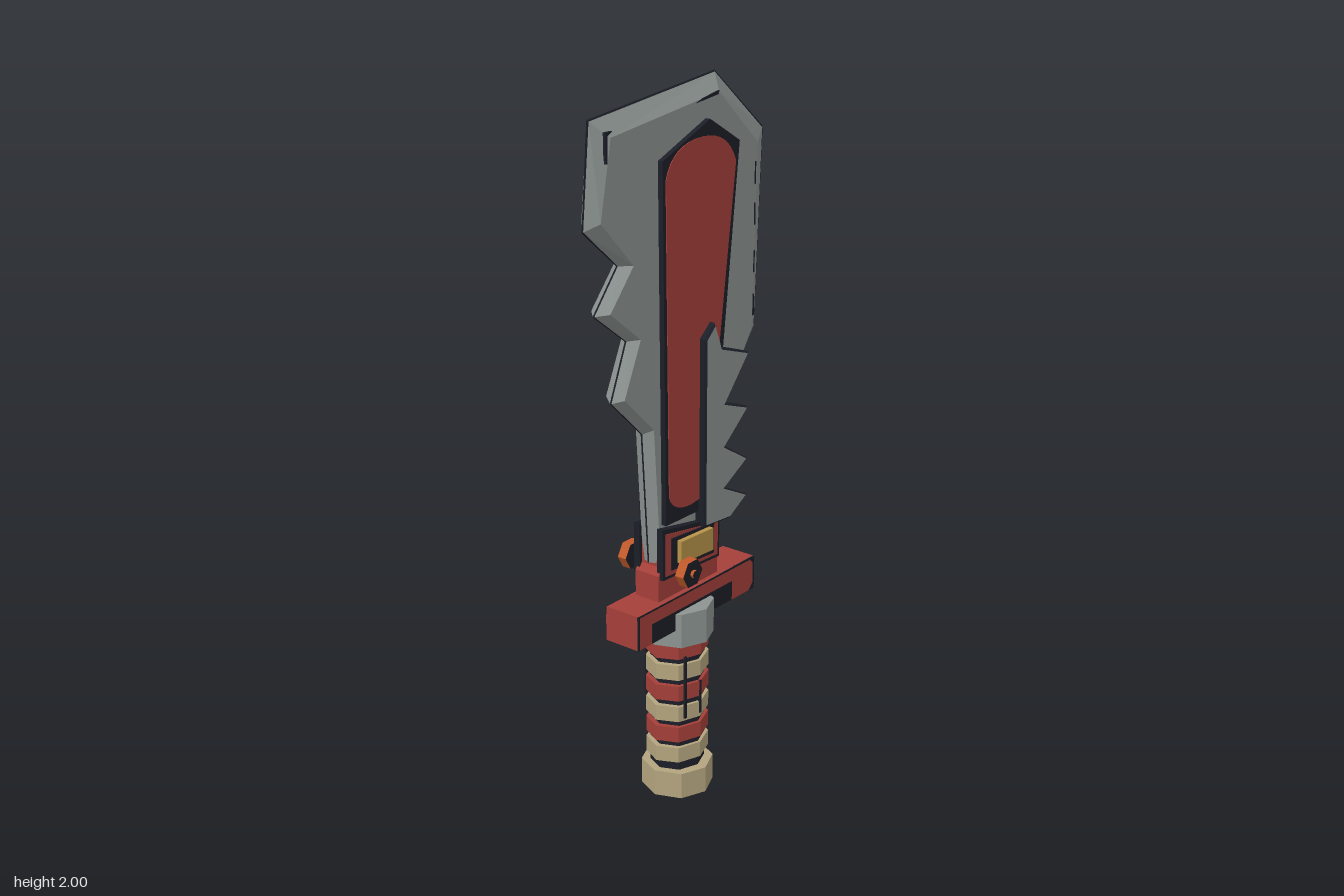
import * as THREE from 'three';

const mat = (name, color) => {
  const m = new THREE.MeshStandardMaterial({ color });
  m.name = name;
  return m;
};

export function createModel() {
  const model = new THREE.Group();
  model.name = 'serratedSword';
  const steel = mat('steel grey', 0x8c9390);
  const red = mat('red', 0xa53f39);
  const dark = mat('dark navy', 0x1c1e28);
  const tan = mat('tan', 0xb3a47e);
  const gold = mat('gold', 0xb8934a);
  const orange = mat('burnt orange', 0xc25a2b);

  const add = (name, geo, material, x = 0, y = 0, z = 0) => {
    const mesh = new THREE.Mesh(geo, material);
    mesh.name = name;
    mesh.position.set(x, y, z);
    model.add(mesh);
    return mesh;
  };
  const shapeOf = (pts) => new THREE.Shape(pts.map(([x, y]) => new THREE.Vector2(x, y)));
  // Flat plate from an outline, between two depths
  const plate = (name, shape, z0, z1, material) =>
    add(name, new THREE.ExtrudeGeometry(shape, { depth: z1 - z0, bevelEnabled: false, curveSegments: 8 }), material, 0, 0, z0);
  const box = (name, x0, x1, y0, y1, z0, z1, material) =>
    add(name, new THREE.BoxGeometry(x1 - x0, y1 - y0, z1 - z0), material, (x0 + x1) / 2, (y0 + y1) / 2, (z0 + z1) / 2);
  // Faceted eight-sided ring of the grip
  const octagon = (name, rx, rz, y0, y1, material) => {
    const geo = new THREE.CylinderGeometry(1, 1, y1 - y0, 8).toNonIndexed();
    geo.scale(rx, 1, rz);
    geo.computeVertexNormals();
    add(name, geo, material, 0, (y0 + y1) / 2, 0);
  };
  const fromTriangles = (name, pos, material) => {
    const geo = new THREE.BufferGeometry();
    geo.setAttribute('position', new THREE.Float32BufferAttribute(pos, 3));
    geo.computeVertexNormals();
    add(name, geo, material);
  };

  // Blade: cutting edge on the centre plane, bevelled up to two flat faces.
  // Each row is edge x, edge y, face x, face y.
  const outline = [
    [-0.34, 1.935, -0.29, 1.89], [0.15, 2, 0.13, 1.95], [0.363, 1.83, 0.3, 1.8],
    [0.337, 1.285, 0.285, 1.3], [0.165, 1.05, 0.14, 1.07], [0.14, 0.73, 0.12, 0.73],
    [-0.125, 0.73, -0.11, 0.73], [-0.15, 1.1, -0.135, 1.115], [-0.27, 1.215, -0.25, 1.225],
    [-0.21, 1.365, -0.185, 1.37], [-0.33, 1.455, -0.3, 1.46], [-0.24, 1.565, -0.21, 1.565],
    [-0.365, 1.67, -0.33, 1.69],
  ].reverse();
  const steelTris = [];
  const edgeTris = [];
  const face = outline.map((p) => new THREE.Vector2(p[2], p[3]));
  const caps = THREE.ShapeUtils.triangulateShape(face, []);
  for (const s of [1, -1]) {
    const tri = (out, a, b, c) => out.push(...a, ...(s > 0 ? b : c), ...(s > 0 ? c : b));
    // Point on the bevel: t = 0 at the cutting edge, 1 at the flat face
    const at = (i, t) => {
      const [ex, ey, fx, fy] = outline[i];
      return [ex + (fx - ex) * t, ey + (fy - ey) * t, 0.031 * s * t];
    };
    const strip = (out, i, j, t0, t1) => {
      tri(out, at(i, t0), at(j, t0), at(j, t1));
      tri(out, at(i, t0), at(j, t1), at(i, t1));
    };
    outline.forEach((_, i) => {
      const j = (i + 1) % outline.length;
      strip(edgeTris, i, j, 0, 0.09);
      strip(steelTris, i, j, 0.09, 1);
    });
    caps.forEach(([a, b, c]) => tri(steelTris, at(a, 1), at(b, 1), at(c, 1)));
  }
  fromTriangles('blade', steelTris, steel);
  fromTriangles('cuttingEdge', edgeTris, dark);

  // Scratches on the front of the blade
  plate('bladeScratch', shapeOf([[0.035, 1.932], [0.125, 1.944], [0.13, 1.954], [0.06, 1.941]]), 0.026, 0.033, dark);
  plate('cornerScratch', shapeOf([[-0.31, 1.83], [-0.303, 1.83], [-0.303, 1.895], [-0.285, 1.905], [-0.31, 1.905]]), 0.024, 0.032, dark);
  for (const y of [1.33, 1.45, 1.58, 1.69]) {
    box('edgeScratch', 0.288, 0.293, y, y + 0.06, 0.026, 0.032, dark);
  }

  // Dark frame and red panel running through the blade
  plate('panelFrame', shapeOf([[-0.105, 0.84], [0.085, 0.84], [0.14, 1.3], [0.2, 1.82], [0.075, 1.89], [-0.115, 1.81]]),
    -0.046, 0.046, dark);
  const panel = new THREE.Shape();
  panel.moveTo(-0.093, 0.92);
  panel.quadraticCurveTo(-0.08, 0.87, 0, 0.87);
  panel.lineTo(0.065, 0.88);
  panel.lineTo(0.12, 1.3);
  panel.lineTo(0.183, 1.77);
  panel.quadraticCurveTo(0.15, 1.85, 0.05, 1.85);
  panel.quadraticCurveTo(-0.08, 1.85, -0.104, 1.76);
  plate('redPanel', panel, -0.048, 0.048, red);

  // Saw plates on both faces: steel faces with dark bevelled rims
  const saw = shapeOf([
    [0.035, 0.795], [0.15, 0.787], [0.228, 0.835], [0.125, 0.885], [0.228, 0.942], [0.125, 1.005],
    [0.228, 1.092], [0.125, 1.128], [0.228, 1.248], [0.108, 1.288], [0.077, 1.362], [0.035, 1.325],
  ]);
  for (const z of [-0.062, 0.037]) {
    const geo = new THREE.ExtrudeGeometry(saw, {
      depth: 0.025, bevelThickness: 0.006, bevelSize: 0.006, bevelOffset: -0.006, bevelSegments: 1,
    });
    add('sawTeeth', geo, [steel, dark], 0, 0, z);
  }

  // Blade socket
  plate('socket', shapeOf([[-0.13, 0.62], [0.128, 0.62], [0.128, 0.785], [-0.115, 0.83], [-0.115, 0.72], [-0.13, 0.7]]),
    -0.04, 0.04, red);
  for (const s of [1, -1]) {
    const layer = (name, pts, depth, material) =>
      plate(name, shapeOf(pts), s > 0 ? 0.03 : -depth, s > 0 ? depth : -0.03, material);
    layer('socketRim', [[-0.124, 0.688], [0.122, 0.678], [0.124, 0.792], [-0.124, 0.835]], 0.05, dark);
    layer('socketFrame', [[-0.113, 0.697], [0.113, 0.687], [0.115, 0.783], [-0.113, 0.82]], 0.052, red);
    layer('socketInset', [[-0.092, 0.71], [0.092, 0.7], [0.092, 0.79], [-0.092, 0.802]], 0.056, dark);
    layer('goldPlate', [[-0.07, 0.726], [0.07, 0.72], [0.07, 0.785], [-0.07, 0.79]], 0.071, gold);

    // Hex bolt with a dark face and a small centre pin
    const bolt = (name, r, z0, z1) => {
      const geo = new THREE.CylinderGeometry(r, r, z1 - z0, 6).toNonIndexed();
      geo.rotateY(Math.PI / 2);
      geo.computeVertexNormals();
      add(name, geo, [orange, dark, dark], -0.076, 0.712, s * (z0 + z1) / 2).rotation.x = Math.PI / 2;
    };
    bolt('hexBolt', 0.041, 0.086, 0.114);
    bolt('boltPin', 0.011, 0.11, 0.123);

    // Dark inlay, outline and worn corners on the guard face
    const onGuard = (name, x0, x1, y0, y1) =>
      box(name, x0, x1, y0, y1, s * 0.055 - 0.002, s * 0.055 + 0.002, dark);
    onGuard('guardInlay', -0.178, 0.175, 0.526, 0.583);
    onGuard('guardOutline', -0.235, 0.28, 0.62, 0.625);
    onGuard('guardOutline', -0.235, -0.229, 0.525, 0.625);
    onGuard('guardOutline', 0.274, 0.28, 0.525, 0.625);
    for (const [y, inner] of [[0.525, 0.55], [0.625, 0.6]]) {
      const corner = y < inner ? [[0.255, y], [0.28, y], [0.28, inner]] : [[0.255, y], [0.28, inner], [0.28, y]];
      plate('guardCorner', shapeOf(corner), s * 0.055 - 0.002, s * 0.055 + 0.002, dark);
    }

    // Dark seams running down the grip wrap
    box('gripSeam', -0.056, -0.048, 0.25, 0.44, s * 0.07 - 0.003, s * 0.07 + 0.003, dark);
    box('gripSeam', -0.004, 0.004, 0.25, 0.35, s * 0.081 - 0.003, s * 0.081 + 0.003, dark);
  }

  // Cross guard
  box('guard', -0.235, 0.28, 0.525, 0.625, -0.056, 0.056, red);

  // Grip: collar, wrapped bands over a dark core, pommel
  octagon('gripCollar', 0.102, 0.102, 0.475, 0.575, steel);
  octagon('gripCore', 0.08, 0.074, 0.07, 0.48, dark);
  for (let i = 0; i < 6; i++) {
    const y = 0.11 + i * 0.0645;
    octagon('gripBand', 0.095, 0.083, y, y + 0.046, i % 2 ? red : tan);
  }
  octagon('pommel', 0.102, 0.102, 0.002, 0.08, tan);
  octagon('pommelBase', 0.1, 0.1, 0, 0.004, dark);
  return model;
}
